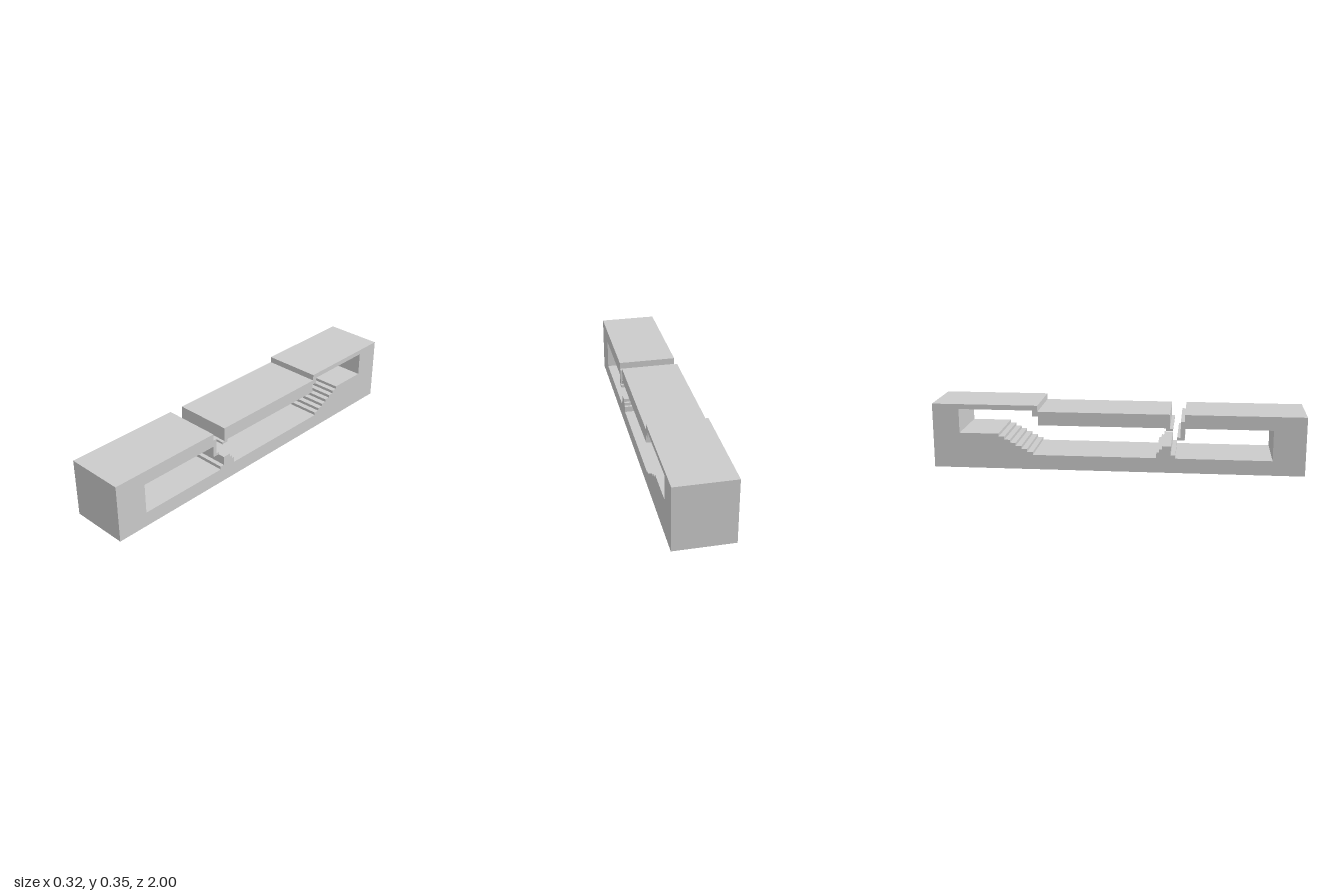
import * as THREE from 'three';

const WIDTH = 0.32;

export function createModel() {
  const group = new THREE.Group();
  group.name = 'hollowChannel';
  const material = new THREE.MeshStandardMaterial({ color: 0xcccccc });

  // Staircase from the channel floor up to the rear shelf
  const floor = 0.08, steps = 7, rise = 0.0163, run = 0.031;
  const stairs = [];
  for (let i = 0; i < steps; i++) {
    const z = -0.455 - i * run;
    stairs.push([z, floor + i * rise], [z, floor + (i + 1) * rise]);
  }
  const shelf = floor + steps * rise;

  // Side outline as [z, y] pairs
  const outline = [
    // base and rear block
    [1, 0], [-1, 0], [-1, 0.353], [-0.425, 0.353],
    // middle roof with its small lip at the slot
    [-0.425, 0.32], [0.283, 0.32], [0.283, 0.243], [0.3, 0.243], [0.3, 0.231],
    [0.262, 0.231], [0.262, 0.246], [-0.423, 0.246],
    // stepped ceiling, rear wall and shelf
    [-0.423, 0.294], [-0.453, 0.294], [-0.453, 0.326], [-0.855, 0.326], [-0.855, shelf],
    // stairs down to the floor
    ...stairs.reverse(),
    // stepped ridge under the slot
    [0.213, floor], [0.213, 0.112], [0.228, 0.112], [0.228, 0.129], [0.243, 0.129],
    [0.243, 0.147], [0.29, 0.147], [0.29, 0.098], [0.314, 0.098], [0.314, floor],
    // front cavity
    [0.828, floor], [0.828, 0.246], [0.363, 0.246],
    // hanging hook and front roof
    [0.363, 0.182], [0.323, 0.182], [0.323, 0.196], [0.341, 0.196], [0.341, 0.283],
    [0.363, 0.283], [0.363, 0.32], [1, 0.32],
  ];

  const shape = new THREE.Shape(outline.map(([z, y]) => new THREE.Vector2(-z, y)));
  const geometry = new THREE.ExtrudeGeometry(shape, { depth: WIDTH, bevelEnabled: false });
  geometry.translate(0, 0, -WIDTH / 2);
  geometry.rotateY(Math.PI / 2);

  const body = new THREE.Mesh(geometry, material);
  body.name = 'channelBody';
  group.add(body);
  return group;
}
